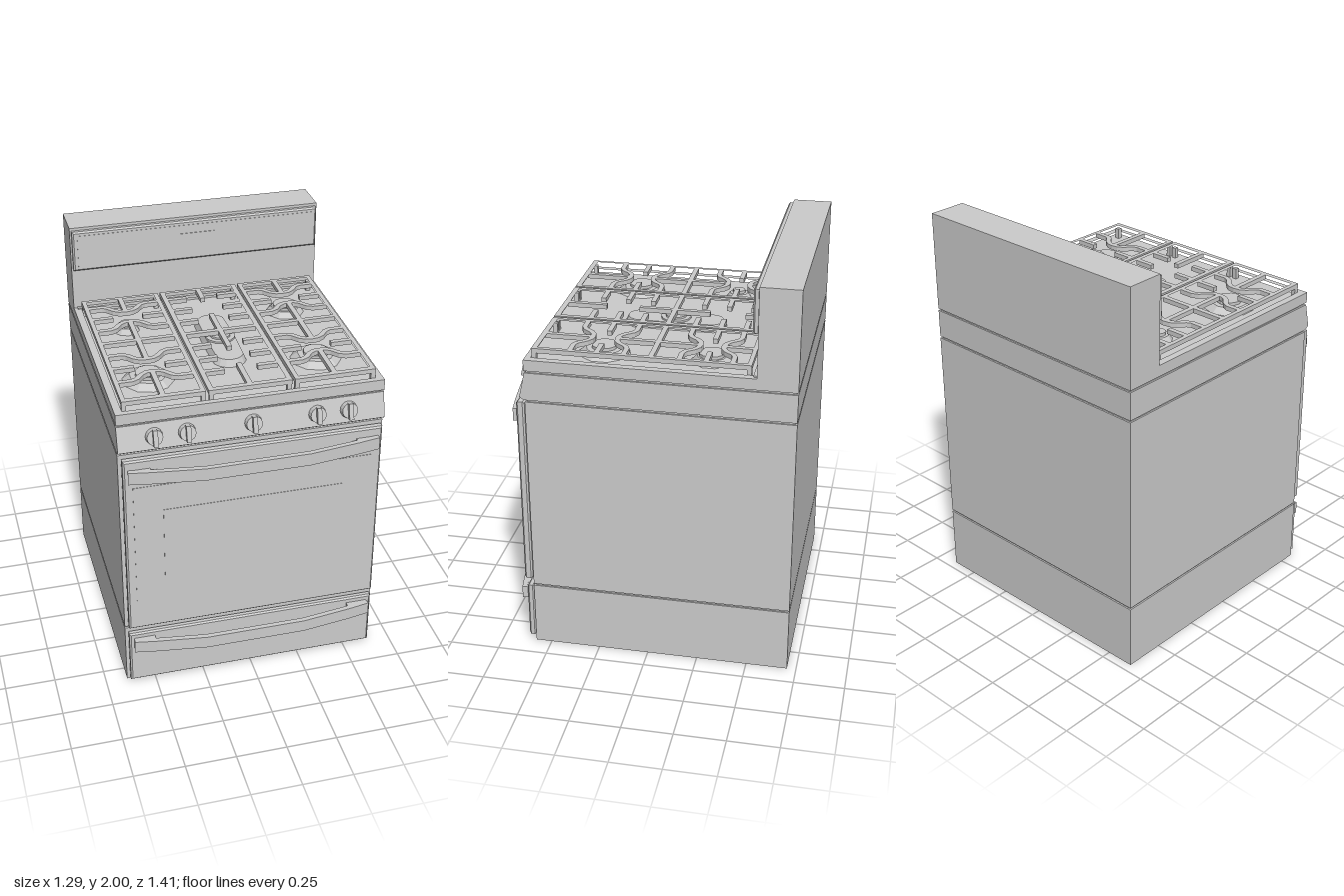
import * as THREE from 'three';

const grey = new THREE.MeshStandardMaterial({ color: 0xcccccc, flatShading: true });

export function createModel() {
  const root = new THREE.Group();
  root.name = 'gasRange';

  function add(name, geometry, parent = root) {
    const mesh = new THREE.Mesh(geometry, grey);
    mesh.name = name;
    parent.add(mesh);
    return mesh;
  }
  // Box given by its limits on each axis
  function box(name, x0, x1, y0, y1, z0, z1, parent) {
    const g = new THREE.BoxGeometry(x1 - x0, y1 - y0, z1 - z0);
    g.translate((x0 + x1) / 2, (y0 + y1) / 2, (z0 + z1) / 2);
    return add(name, g, parent);
  }
  // Outline of [x, z] points raised from y0 to y1
  function slab(name, pts, y0, y1, parent, hole) {
    const toV = p => new THREE.Vector2(p[0], -p[1]);
    const shape = new THREE.Shape(pts.map(toV));
    if (hole) shape.holes.push(new THREE.Path(hole.map(toV)));
    const g = new THREE.ExtrudeGeometry(shape, { depth: y1 - y0, bevelEnabled: false });
    g.rotateX(-Math.PI / 2);
    g.translate(0, y0, 0);
    return add(name, g, parent);
  }
  const rect = (x0, x1, z0, z1) => [[x0, z0], [x1, z0], [x1, z1], [x0, z1]];
  // Strip of constant width along [x, z] points
  function ribbon(name, pts, width, y0, y1, parent) {
    const a = [], b = [];
    pts.forEach((p, i) => {
      const q = pts[Math.max(i - 1, 0)], r = pts[Math.min(i + 1, pts.length - 1)];
      const dx = r[0] - q[0], dz = r[1] - q[1], k = width / 2 / Math.hypot(dx, dz);
      a.push([p[0] - dz * k, p[1] + dx * k]);
      b.unshift([p[0] + dz * k, p[1] - dx * k]);
    });
    return slab(name, a.concat(b), y0, y1, parent);
  }
  // Front panel with a small chamfer round its face
  function panel(name, hx, y0, y1, z0, z1, c = 0.008) {
    const s = new THREE.Shape(rect(-hx + c, hx - c, y0 + c, y1 - c).map(p => new THREE.Vector2(...p)));
    const g = new THREE.ExtrudeGeometry(s, {
      depth: z1 - z0 - 2 * c, bevelThickness: c, bevelSize: c, bevelSegments: 1,
    });
    g.translate(0, 0, z0 + c);
    return add(name, g);
  }

  // Cabinet sections separated by narrow recessed seams
  const W = 0.643, B = -0.705, F = 0.58;
  box('drawerCabinet', -W, W, 0, 0.328, B, F);
  box('ovenCabinet', -W, W, 0.338, 1.345, B, F);
  box('seamCore', -W + 0.008, W - 0.008, 0.3, 1.52, B + 0.008, F - 0.01);

  // Control section with sloping front
  const side = new THREE.Shape([[B, 1.355], [0.585, 1.355], [0.606, 1.37], [0.577, 1.495], [B, 1.495]]
    .map(p => new THREE.Vector2(-p[0], p[1])));
  const control = new THREE.ExtrudeGeometry(side, { depth: 2 * W, bevelEnabled: false });
  control.rotateY(Math.PI / 2);
  control.translate(-W, 0, 0);
  add('controlPanel', control);

  // Knobs, tilted with the sloping panel
  for (const x of [-0.47, -0.315, 0, 0.31, 0.465]) {
    const knob = new THREE.Group();
    knob.name = 'knob';
    const disc = new THREE.CylinderGeometry(0.038, 0.042, 0.03, 16);
    disc.rotateX(Math.PI / 2);
    disc.translate(0, 0, 0.012);
    add('knobDisc', disc, knob);
    box('knobGrip', -0.011, 0.011, -0.04, 0.04, 0.02, 0.046, knob);
    knob.position.set(x, 1.432, 0.592);
    knob.rotation.x = -0.23;
    root.add(knob);
  }

  // Cooktop tray with raised rim
  box('cooktopFloor', -W, W, 1.505, 1.53, B, F);
  slab('cooktopRim', rect(-W, W, -0.53, F), 1.53, 1.56, root, rect(-0.607, 0.607, -0.495, 0.552));
  box('rearTrim', -0.625, 0.625, 1.55, 1.566, -0.52, -0.495);

  // Backguard and its display
  box('backguard', -W, W, 1.53, 2, B, -0.514);
  panel('displayPanel', 0.635, 1.777, 1.987, -0.52, -0.488);
  box('displayGlass', -0.61, 0.61, 1.798, 1.966, -0.49, -0.486);
  box('displayScreen', -0.092, 0.092, 1.872, 1.922, -0.487, -0.483);

  // Oven door and drawer
  box('doorSeal', -0.6, 0.6, 0.38, 1.315, 0.57, 0.6);
  panel('ovenDoor', 0.628, 0.357, 1.335, 0.59, 0.63);
  box('doorGlass', -0.585, 0.585, 0.53, 1.187, 0.62, 0.632);
  box('doorWindow', -0.443, 0.443, 0.605, 1.045, 0.62, 0.634);
  box('drawerSeal', -0.6, 0.6, 0.04, 0.3, 0.57, 0.6);
  panel('drawerFront', 0.628, 0.02, 0.315, 0.585, 0.62);

  // Bowed handles with end mounts
  const bow = [[-0.607, 0.64], [-0.5, 0.659], [-0.25, 0.693], [0.25, 0.693], [0.5, 0.659], [0.607, 0.64]];
  for (const [name, y, z] of [['doorHandle', 1.257, 0.62], ['drawerHandle', 0.257, 0.61]]) {
    const handle = new THREE.Group();
    handle.name = name;
    ribbon('handleBar', bow, 0.025, y - 0.032, y + 0.032, handle);
    for (const s of [-1, 1]) {
      slab('handleMount', s < 0 ? [[-0.605, z], [-0.5, z], [-0.5, 0.655], [-0.605, 0.636]]
        : [[0.5, z], [0.605, z], [0.605, 0.636], [0.5, 0.655]], y - 0.03, y + 0.03, handle);
    }
    root.add(handle);
  }

  // Round burners: sloping base and cap
  function frustum(name, r0, r1, y0, y1, x, z, n = 10) {
    const g = new THREE.CylinderGeometry(r1, r0, y1 - y0, n);
    g.translate(x, (y0 + y1) / 2, z);
    return add(name, g);
  }
  for (const [x, z, r, cap] of [[-0.42, -0.27, 0.066, 0.032], [0.41, -0.27, 0.097, 0.062],
    [-0.42, 0.245, 0.125, 0.062], [0.41, 0.245, 0.125, 0.062]]) {
    frustum('burnerBase', r, Math.max(r * 0.72, cap + 0.01), 1.53, 1.558, x, z);
    frustum('burnerCap', cap, cap, 1.558, 1.573, x, z, 12);
  }
  // Long middle burner, a frustum stretched along z
  const long = new THREE.CylinderGeometry(0.072, 0.087, 0.035, 16);
  const pos = long.attributes.position;
  for (let i = 0; i < pos.count; i++) {
    const z = pos.getZ(i);
    if (Math.abs(z) > 0.001) pos.setZ(i, z + Math.sign(z) * 0.168);
  }
  long.translate(0, 1.5475, -0.02);
  add('longBurnerBase', long);
  frustum('longBurnerCap', 0.075, 0.075, 1.56, 1.574, 0, -0.02, 12);
  frustum('longBurnerTop', 0.052, 0.052, 1.574, 1.584, 0, -0.02, 12);

  // Grates
  const y0 = 1.584, y1 = 1.607, h = 0.0125;
  const zBars = [-0.395, -0.273, -0.148, -0.015, 0.113, 0.24, 0.368];
  const dip = [[-0.18, 0], [-0.11, 0], [-0.085, 0.012], [-0.055, 0.048], [-0.03, 0.064], [0, 0.068],
    [0.03, 0.064], [0.055, 0.048], [0.085, 0.012], [0.11, 0], [0.18, 0]];
  for (const cx of [-0.41, 0, 0.41]) {
    const grate = new THREE.Group();
    grate.name = cx ? 'sideGrate' : 'middleGrate';
    const out = cx ? 0.197 : 0.2, inn = 0.175;
    slab('grateFrame', rect(cx - out, cx + out, -0.485, 0.549), y0, y1, grate,
      rect(cx - inn, cx + inn, -0.464, 0.522));
    for (const s of [-1, 1]) for (const z of [-0.474, 0.536])
      box('grateFoot', cx + s * 0.186 - 0.011, cx + s * 0.186 + 0.011, 1.53, y0, z - 0.011, z + 0.011, grate);
    const stubs = (z, gap) => {
      for (const s of [-1, 1]) {
        const a = cx + s * gap, b = cx + s * 0.18;
        box('grateFinger', Math.min(a, b), Math.max(a, b), y0, y1, z - h, z + h, grate);
      }
    };
    const spine = (za, zb) => box('grateSpine', cx - h, cx + h, y0, y1, za, zb, grate);
    box('grateCrossbar', cx - 0.18, cx + 0.18, y0, y1, zBars[3] - h, zBars[3] + h, grate);
    if (cx) {
      // Crossbars curve in towards each burner
      [[0, 1], [2, -1], [4, 1], [6, -1]].forEach(([i, s]) =>
        ribbon('curvedCrossbar', dip.map(p => [cx + p[0], zBars[i] + s * p[1]]), 2 * h, y0, y1, grate));
      stubs(zBars[1], 0.075);
      stubs(zBars[5], 0.075);
      spine(-0.47, -0.33);
      spine(-0.215, 0.18);
      spine(0.3, 0.53);
    } else {
      for (const i of [0, 1, 2, 4, 5, 6]) stubs(zBars[i], 0.08);
      spine(-0.47, -0.367);
      spine(-0.192, 0.163);
      spine(0.33, 0.53);
    }
    root.add(grate);
  }
  return root;
}
